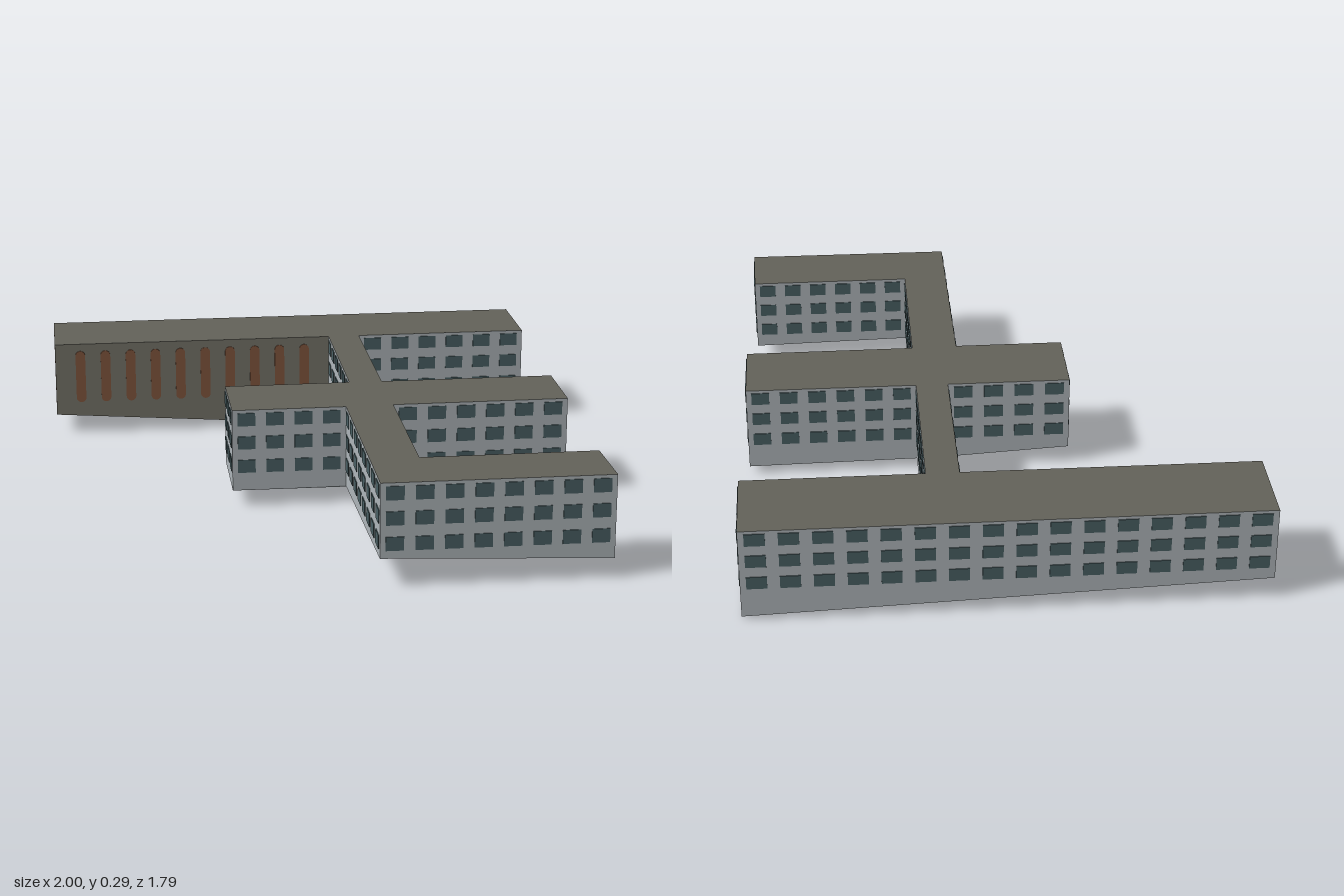
import * as THREE from 'three';
import { mergeGeometries } from 'three/addons/utils/BufferGeometryUtils.js';

const mat = (name, color) => {
  const m = new THREE.MeshStandardMaterial({ color });
  m.name = name;
  return m;
};

const TOP = 0.287;

// Footprint corners, clockwise from above: x, z, ground height,
// and the number of window columns in the wall that starts there.
const corners = [
  [-1, -0.30, 0.065, 16], [0.352, -0.90, 0.01, 3], [0.458, -0.66, 0.012, 6],
  [-0.02, -0.447, 0.002, 6], [0.185, 0.015, 0.032, 6], [0.65, -0.19, 0.025, 3],
  [0.743, 0.023, 0.03, 6], [0.28, 0.23, 0.045, 6], [0.472, 0.663, 0.07, 6],
  [0.917, 0.465, 0.06, 3], [1, 0.645, 0.055, 8], [0.43, 0.895, 0.08, 8],
  [0.157, 0.288, 0.05, 4], [-0.14, 0.42, 0.048, 3], [-0.238, 0.202, 0.055, 4],
  [0.097, 0.053, 0.035, 6], [-0.108, -0.408, 0, 0], [-0.893, -0.062, 0.06, 0],
];
const HALL_WALL = 16, END_WALL = 17;

// Wings and corridors as lists of corner numbers
const blocks = {
  backWing: [0, 1, 2, 3, 16, 17],
  backCorridor: [3, 4, 15, 16],
  middleWing: [4, 5, 6, 7, 12, 13, 14, 15],
  frontCorridor: [7, 8, 11, 12],
  frontWing: [8, 9, 10, 11],
};

function facesGeometry(points) {
  const g = new THREE.BufferGeometry();
  g.setAttribute('position', new THREE.Float32BufferAttribute(points.flat(), 3));
  g.computeVertexNormals();
  return g;
}

// Flat or sloping slab face over one block, turned up or down
function slab(ids, up) {
  const flat = ids.map(i => new THREE.Vector2(corners[i][0], corners[i][1]));
  const points = [];
  for (const tri of THREE.ShapeUtils.triangulateShape(flat, [])) {
    const [a, b, c] = tri.map(k => flat[k]);
    const facesDown = (b.x - a.x) * (c.y - a.y) - (b.y - a.y) * (c.x - a.x) > 0;
    const order = facesDown === up ? [tri[0], tri[2], tri[1]] : tri;
    for (const k of order) {
      const [x, z, y] = corners[ids[k]];
      points.push([x, up ? TOP : y, z]);
    }
  }
  return facesGeometry(points);
}

// Tall rounded window of the hall
function roundedPane(w, h) {
  const r = w / 2, s = new THREE.Shape();
  s.absarc(0, h / 2 - r, r, 0, Math.PI, false);
  s.absarc(0, r - h / 2, r, Math.PI, Math.PI * 2, false);
  s.closePath();
  return new THREE.ExtrudeGeometry(s, { depth: 0.003, bevelEnabled: false, curveSegments: 8 });
}

export function createModel() {
  const wallMat = mat('pale grey wall', 0xb0b7bb);
  const glassMat = mat('dark teal glass', 0x4a6064);
  const roofMat = mat('olive grey roof', 0x63625a);
  const hallMat = mat('olive hall wall', 0x77756a);
  const brickMat = mat('rust brown', 0x84583f);

  const model = new THREE.Group();
  model.name = 'building';
  const add = (name, geometry, material, parent = model) => {
    const mesh = new THREE.Mesh(geometry, material);
    mesh.name = name;
    parent.add(mesh);
    return mesh;
  };

  // Roofs and undersides
  for (const [name, ids] of Object.entries(blocks)) {
    add(name + 'Roof', slab(ids, true), roofMat);
    add(name + 'Underside', slab(ids, false), wallMat);
  }

  // Walls with their windows
  corners.forEach(([px, pz, py, columns], i) => {
    const [qx, qz, qy] = corners[(i + 1) % corners.length];
    const length = Math.hypot(qx - px, qz - pz);
    const p0 = [px, py, pz], p1 = [px, TOP, pz], q0 = [qx, qy, qz], q1 = [qx, TOP, qz];
    const material = i === HALL_WALL ? hallMat : i === END_WALL ? brickMat : wallMat;
    const name = i === HALL_WALL ? 'hallWall' : i === END_WALL ? 'brickEndWall' : 'wall' + i;
    add(name, facesGeometry([q0, p0, p1, q0, p1, q1]), material);

    const panes = [];
    if (i === HALL_WALL) {
      const pitch = length / 11;
      for (let c = 1; c <= 10; c++) {
        panes.push(roundedPane(0.03, 0.165).translate(c * pitch - length / 2, 0.182, 0));
      }
    }
    const pitch = length / Math.max(columns, 1);
    for (let c = 0; c < columns; c++) {
      for (const y of [0.12, 0.19, 0.259]) {
        panes.push(new THREE.BoxGeometry(pitch * 0.62, 0.038, 0.005)
          .translate((c + 0.5) * pitch - length / 2, y, 0));
      }
    }
    if (panes.length) {
      const windows = add(i === HALL_WALL ? 'hallWindows' : 'windows' + i,
        mergeGeometries(panes), i === HALL_WALL ? brickMat : glassMat);
      windows.position.set((px + qx) / 2, 0, (pz + qz) / 2);
      windows.rotation.y = Math.atan2(qz - pz, px - qx);
    }
  });

  return model;
}
